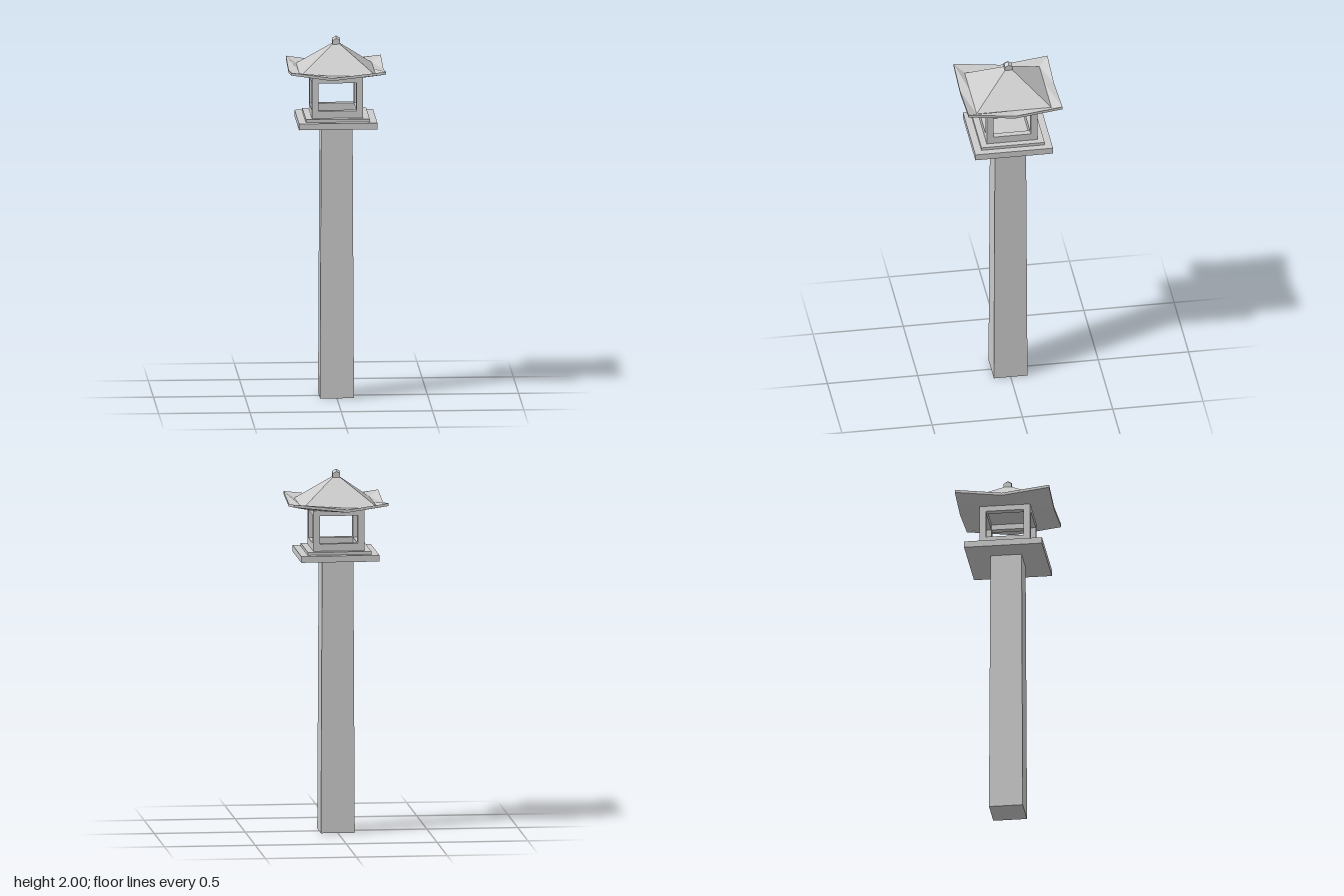
import * as THREE from 'three';

const material = new THREE.MeshStandardMaterial({ color: 0xcccccc, flatShading: true });

function addMesh(parent, name, geometry, x = 0, y = 0, z = 0) {
  const mesh = new THREE.Mesh(geometry, material);
  mesh.name = name;
  mesh.position.set(x, y, z);
  parent.add(mesh);
  return mesh;
}

// Square block centred on the axis, from y0 to y1
function block(parent, name, half, y0, y1) {
  return addMesh(parent, name, new THREE.BoxGeometry(half * 2, y1 - y0, half * 2), 0, (y0 + y1) / 2, 0);
}

// Roof skin: square rings with separate heights for corners and side middles
function roofGeometry() {
  const dirs = [[1, 0], [1, -1], [0, -1], [-1, -1], [-1, 0], [-1, 1], [0, 1], [1, 1]];
  // [half width, middle height, corner height, shift of the front and back dip]
  const rings = [
    [0, 1.79, 1.79, 0],
    [0.14, 1.79, 1.79, 0],
    [0.26, 1.795, 1.828, -0.035],
    [0.26, 1.81, 1.843, -0.035],
    [0.207, 1.812, 1.812, -0.035],
    [0.02, 1.956, 1.956, 0],
    [0, 1.956, 1.956, 0],
  ].map(([r, mid, corner, shift]) => dirs.map(([x, z]) =>
    [x === 0 ? shift : x * r, x && z ? corner : mid, z * r]));
  const positions = [];
  for (let k = 0; k < rings.length - 1; k++) {
    for (let i = 0; i < 8; i++) {
      const j = (i + 1) % 8;
      const a = rings[k][i], b = rings[k][j], c = rings[k + 1][j], d = rings[k + 1][i];
      if (k > 0) positions.push(...a, ...b, ...c);
      else positions.push(...a, ...c, ...d);
      if (k > 0 && k < rings.length - 2) positions.push(...a, ...c, ...d);
    }
  }
  const geometry = new THREE.BufferGeometry();
  geometry.setAttribute('position', new THREE.Float32BufferAttribute(positions, 3));
  geometry.computeVertexNormals();
  return geometry;
}

// Square knob whose top rises to a point, with ridges to the side middles
function finialGeometry() {
  const half = 0.021;
  const geometry = new THREE.BoxGeometry(half * 2, 0.05, half * 2, 2, 1, 2);
  const p = geometry.attributes.position;
  for (let i = 0; i < p.count; i++) {
    if (p.getY(i) > 0) {
      p.setY(i, 0.05 - 0.012 * (Math.abs(p.getX(i)) + Math.abs(p.getZ(i))) / half);
    } else {
      p.setY(i, 0);
    }
  }
  geometry.computeVertexNormals();
  return geometry;
}

export function createModel() {
  const model = new THREE.Group();
  model.name = 'stoneLantern';

  // Slightly tapered square post
  const post = new THREE.CylinderGeometry(0.086 * Math.SQRT2, 0.093 * Math.SQRT2, 1.515, 4);
  post.rotateY(Math.PI / 4);
  addMesh(model, 'post', post, 0, 1.515 / 2, 0);

  // Stepped platform
  block(model, 'platform', 0.215, 1.515, 1.55);
  block(model, 'platformStep', 0.175, 1.55, 1.566);

  // Open lamp housing: corner posts and rails on four sides
  const housing = new THREE.Group();
  housing.name = 'lampHousing';
  model.add(housing);
  const half = 0.14, bar = 0.036, centre = half - bar / 2;
  const bottom = 1.566, top = 1.795;
  for (let i = 0; i < 4; i++) {
    const side = new THREE.Group();
    side.name = 'housingSide';
    side.rotation.y = i * Math.PI / 2;
    housing.add(side);
    addMesh(side, 'cornerPost', new THREE.BoxGeometry(bar, top - bottom, bar), centre, (top + bottom) / 2, centre);
    for (const [name, y0, y1] of [['lowerRail', bottom, 1.606], ['upperRail', 1.76, top]]) {
      addMesh(side, name, new THREE.BoxGeometry(2 * (half - bar), y1 - y0, bar), 0, (y0 + y1) / 2, centre);
    }
  }

  // Roof with upturned corners, and its finial
  addMesh(model, 'roof', roofGeometry());
  addMesh(model, 'finial', finialGeometry(), 0, 1.95, 0);

  return model;
}
